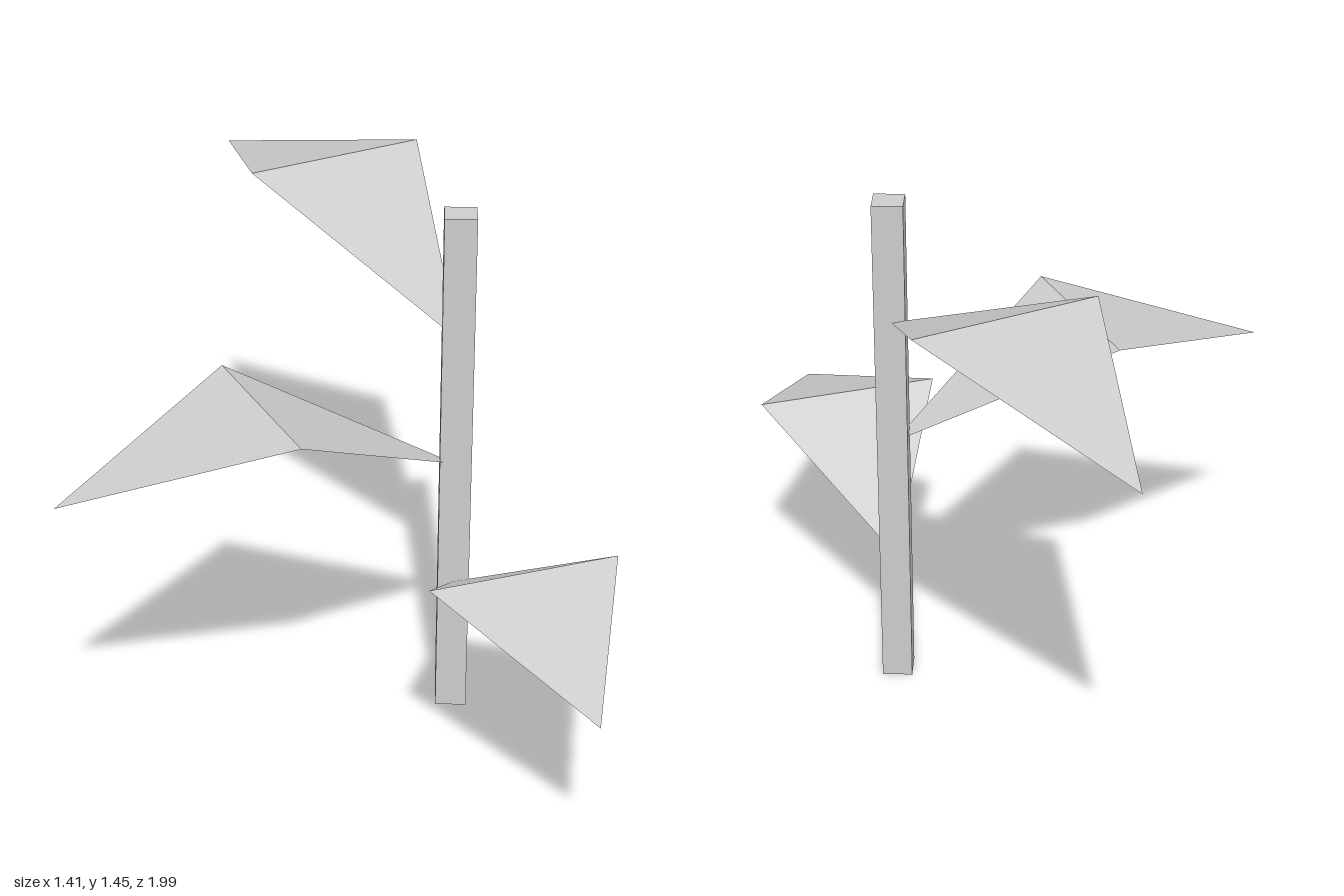
import * as THREE from 'three';

const STEM = { x: 0.298, z: 0.113, width: 0.084, height: 1.45 };

// Folded leaf: rises from the stem to a wide crease, then droops to a tip.
function leafGeometry(length) {
  const half = length / 2, side = 0.258, rise = 0.288, tipY = 0.119;
  const root = [0, 0, 0], tip = [length, tipY, 0];
  const a = [half, rise, side], b = [half, rise, -side];
  const geometry = new THREE.BufferGeometry();
  geometry.setAttribute('position',
    new THREE.Float32BufferAttribute([root, a, b, a, tip, b].flat(), 3));
  geometry.computeVertexNormals();
  return geometry;
}

export function createModel() {
  const model = new THREE.Group();
  const grey = new THREE.MeshStandardMaterial({ color: 0xcccccc, side: THREE.DoubleSide });
  grey.name = 'light grey';

  // Square upright stem
  const stem = new THREE.Mesh(
    new THREE.BoxGeometry(STEM.width, STEM.height, STEM.width), grey);
  stem.name = 'stem';
  stem.position.set(STEM.x, STEM.height / 2, STEM.z);
  model.add(stem);

  // Leaves: root height, tip offset from the stem in x and z
  const leaves = [
    ['lowerLeaf', 0.371, 0.336, 0.880],
    ['middleLeaf', 0.734, -1.003, 0.481],
    ['upperLeaf', 1.097, -0.659, -1.113],
  ];
  for (const [name, y, dx, dz] of leaves) {
    const leaf = new THREE.Mesh(leafGeometry(Math.hypot(dx, dz)), grey);
    leaf.name = name;
    leaf.position.set(STEM.x, y, STEM.z);
    leaf.rotation.y = Math.atan2(-dz, dx);
    model.add(leaf);
  }
  return model;
}
